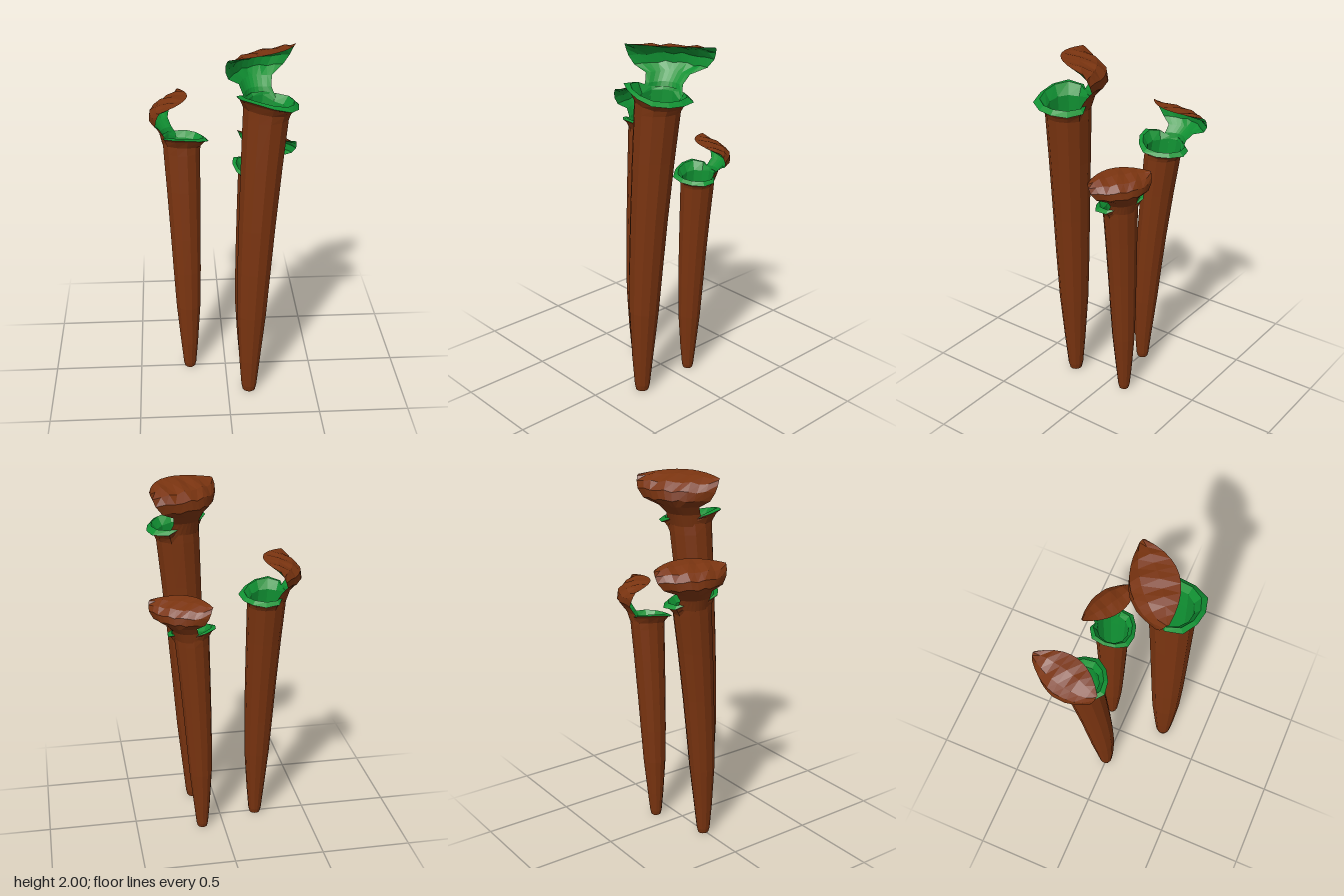
import * as THREE from 'three';

const brown = new THREE.MeshStandardMaterial({ color: 0x7a3410, flatShading: true });
const green = new THREE.MeshStandardMaterial({ color: 0x109233, flatShading: true });
const SIDES = 12;
const HOOD_COLS = 10;

// Grid surface from point(i, j); flip turns the faces over
function surface(name, rows, cols, point, material, flip = false) {
  const pos = [], index = [];
  for (let i = 0; i <= rows; i++) for (let j = 0; j <= cols; j++) pos.push(...point(i, j));
  for (let i = 0; i < rows; i++) for (let j = 0; j < cols; j++) {
    const a = i * (cols + 1) + j, b = a + cols + 1;
    if (flip) index.push(a, a + 1, b, b, a + 1, b + 1);
    else index.push(a, b, a + 1, b, b + 1, a + 1);
  }
  const geo = new THREE.BufferGeometry();
  geo.setAttribute('position', new THREE.Float32BufferAttribute(pos, 3));
  geo.setIndex(index);
  geo.computeVertexNormals();
  const mesh = new THREE.Mesh(geo, material);
  mesh.name = name;
  return mesh;
}

// Outer wall: [fraction of height, radius]
const WALL = [[0, 0], [0, 0.036], [0.02, 0.044], [0.12, 0.06], [0.29, 0.083],
  [0.45, 0.094], [0.6, 0.102], [0.8, 0.113], [0.95, 0.122]];
// Lip: [height above the rim, radius, share of the flare]
const LIP_UNDER = [[-0.04, 0.122, 0.1], [0, 0.122, 0.55], [0.015, 0.122, 1]];
const LIP_OVER = [[0.015, 0.122, 1], [0.025, 0.118, 0.5], [-0.03, 0.112, 0]];
// Inner wall: [fraction of height, radius]
const INSIDE = [[0.9, 0.108], [0.7, 0.095], [0.4, 0.075], [0.12, 0.042], [0.03, 0.024]];

// Hood rows: [back offset at middle, at edges, half width, height, side shift]
const HOOD = [
  [0.124, 0.05, 0.113, -0.04, 0],
  [0.145, 0.09, 0.098, 0.03, 0.01],
  [0.185, 0.12, 0.115, 0.08, 0.025],
  [0.212, 0.13, 0.19, 0.12, 0.037],
  [0.205, 0.12, 0.222, 0.17, 0.042],
  [0.155, 0.105, 0.232, 0.212, 0.042],
  [0.065, 0.09, 0.234, 0.24, 0.042],
  [-0.03, 0.08, 0.232, 0.25, 0.038],
];

// One pitcher; local +x is the back, where the hood rises
function pitcher(name, { base, top, back, height, scale }) {
  const group = new THREE.Group();
  group.name = name;
  group.position.set(base[0], 0, base[1]);
  group.rotation.y = Math.atan2(-back[1], back[0]);
  const len = Math.hypot(...back), bx = back[0] / len, bz = back[1] / len;
  const dx = top[0] - base[0], dz = top[1] - base[1];
  const lean = [dx * bx + dz * bz, dz * bx - dx * bz];

  // Ring points follow the leaning stem
  const wallPoint = ([t, r], j) => {
    const a = (j / SIDES) * Math.PI * 2, bend = Math.pow(t, 1.6);
    return [lean[0] * bend + r * scale * Math.cos(a), t * height,
      lean[1] * bend + r * scale * Math.sin(a)];
  };
  // Lip flares everywhere but under the hood, and waves up and down
  const lipPoint = ([y, r, share], j) => {
    const a = (j / SIDES) * Math.PI * 2;
    const flare = 1 - THREE.MathUtils.smoothstep(Math.cos(a), 0.4, 0.9);
    const wave = (-0.02 - 0.04 * Math.sin(a) - 0.01 * Math.cos(2 * a)) * flare * (0.4 + 0.6 * share);
    const rad = (r + 0.05 * flare * share) * (1 + 0.055 * share * Math.cos(4 * a)) * scale;
    return [lean[0] + rad * Math.cos(a), height + (y * (0.3 + 0.7 * flare) + wave) * scale,
      lean[1] + rad * Math.sin(a)];
  };
  const outer = [...WALL.map(p => j => wallPoint(p, j)), ...LIP_UNDER.map(p => j => lipPoint(p, j))];
  const inner = [...LIP_OVER.map(p => j => lipPoint(p, j)), ...INSIDE.map(p => j => wallPoint(p, j))];
  group.add(surface('outerTube', outer.length - 1, SIDES, (i, j) => outer[i](j), brown));
  group.add(surface('innerTubeAndLip', inner.length - 1, SIDES, (i, j) => inner[i](j), green));

  // Floor of the tube
  const floor = [[0.03, 0.024], [0.03, 0]];
  group.add(surface('tubeFloor', 1, SIDES, (i, j) => wallPoint(floor[i], j), brown));

  // Hood: brown outside, green lining just within, meeting at the edges
  const hoodPoint = thickness => (i, j) => {
    const [mid, edge, half, y, shift] = HOOD[i];
    const u = (j / HOOD_COLS) * 2 - 1;
    const border = i === HOOD.length - 1 || Math.abs(u) === 1;
    const inset = border ? 0 : thickness;
    const upper = i / (HOOD.length - 1);
    const ripple = i > 2 && !border ? 0.006 * Math.cos(j * 2.4 + i) : 0;
    return [
      lean[0] + (mid + (edge - mid) * u * u - inset) * scale,
      height + (y - 0.02 * u * u * upper + ripple - inset * upper) * scale,
      lean[1] + (shift + half * u) * scale,
    ];
  };
  group.add(surface('hoodBack', HOOD.length - 1, HOOD_COLS, hoodPoint(0), brown));
  group.add(surface('hoodLining', HOOD.length - 1, HOOD_COLS, hoodPoint(0.01), green, true));
  return group;
}

export function createModel() {
  const model = new THREE.Group();
  model.name = 'pitcherPlants';
  model.add(
    pitcher('tallPitcher', { base: [0.122, 0.254], top: [0.203, 0.2], back: [-0.6, -0.8], height: 1.745, scale: 1 }),
    pitcher('middlePitcher', { base: [-0.21, -0.004], top: [-0.237, -0.115], back: [-0.97, -0.24], height: 1.425, scale: 0.85 }),
    pitcher('shortPitcher', { base: [0.122, -0.104], top: [0.175, -0.115], back: [0.5, -0.86], height: 1.23, scale: 0.77 }),
  );
  return model;
}
